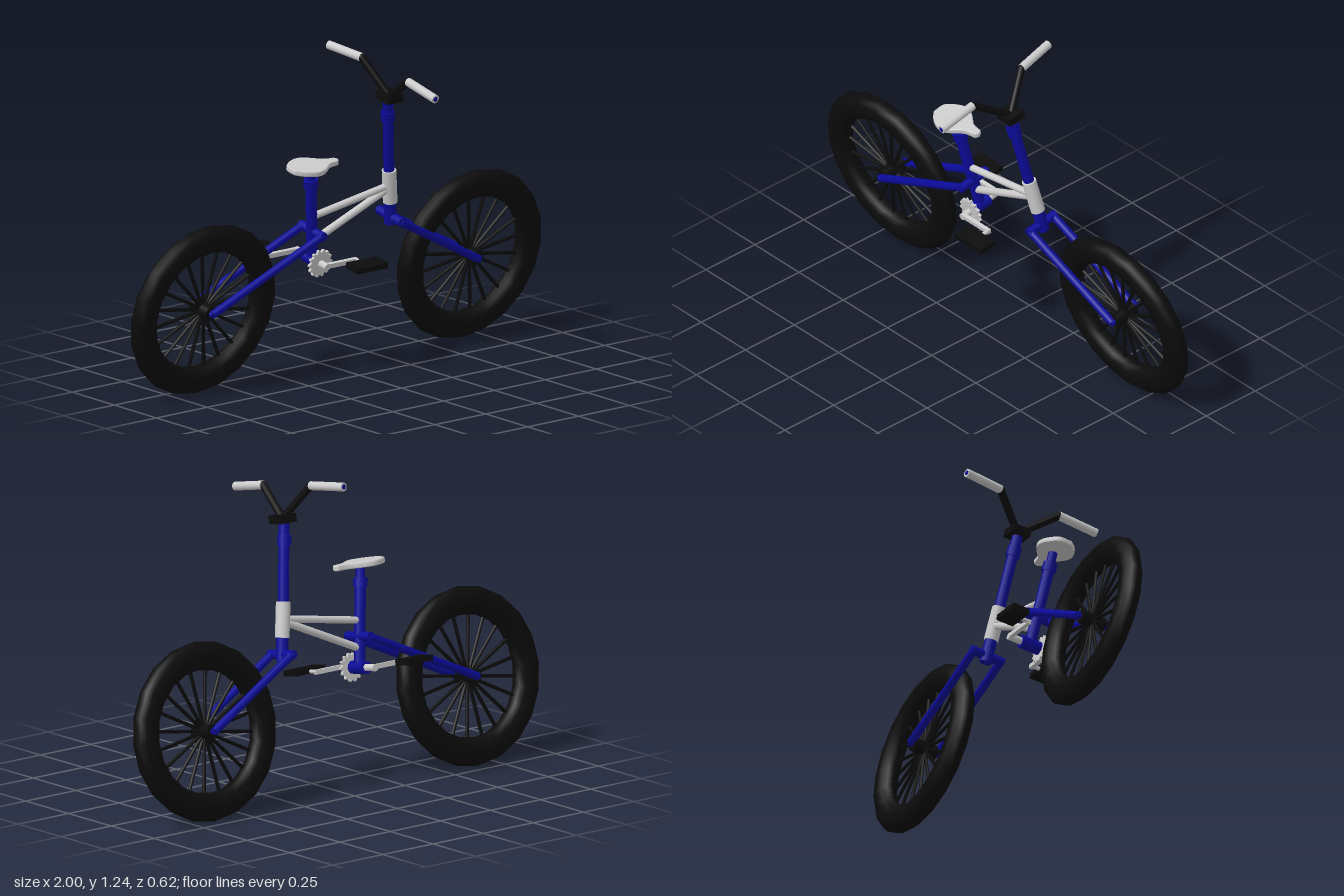
import * as THREE from 'three';

const grey = new THREE.MeshStandardMaterial({ color: 0xcccccc });
const blue = new THREE.MeshStandardMaterial({ color: 0x0b0b99 });
const black = new THREE.MeshStandardMaterial({ color: 0x0b0b0b });
const UP = new THREE.Vector3(0, 1, 0);

export function createModel() {
  const model = new THREE.Group();
  model.name = 'bicycle';

  // The whole bike leans sideways; heights inside are measured from the wheel axles.
  const bike = new THREE.Group();
  bike.name = 'leaningBike';
  bike.position.set(0, 0.345, -0.14);
  bike.rotation.x = THREE.MathUtils.degToRad(10);
  model.add(bike);

  const add = (parent, name, geometry, material) => {
    const mesh = new THREE.Mesh(geometry, material);
    mesh.name = name;
    parent.add(mesh);
    return mesh;
  };
  // Round tube between two points
  const tube = (name, a, b, radius, material, parent = bike, sides = 12) => {
    const p = new THREE.Vector3(...a), q = new THREE.Vector3(...b);
    const mesh = add(parent, name, new THREE.CylinderGeometry(radius, radius, p.distanceTo(q), sides), material);
    mesh.position.copy(p).add(q).multiplyScalar(0.5);
    mesh.quaternion.setFromUnitVectors(UP, q.sub(p).normalize());
    return mesh;
  };
  const box = (name, size, at, material) => {
    const mesh = add(bike, name, new THREE.BoxGeometry(...size), material);
    mesh.position.set(...at);
    return mesh;
  };

  // Wheels: fat tyre, radial spokes and hub
  for (const [name, x] of [['frontWheel', 0.655], ['rearWheel', -0.655]]) {
    const wheel = new THREE.Group();
    wheel.name = name;
    wheel.position.x = x;
    bike.add(wheel);
    add(wheel, 'tyre', new THREE.TorusGeometry(0.29, 0.055, 12, 20), black).scale.z = 0.75;
    tube('hub', [0, 0, -0.05], [0, 0, 0.05], 0.028, black, wheel, 16);
    for (let i = 0; i < 20; i++) {
      const a = (i + 0.5) / 20 * Math.PI * 2;
      tube('spoke', [0, 0, 0], [Math.cos(a) * 0.25, Math.sin(a) * 0.25, 0], 0.007, black, wheel, 6);
    }
    tube('axle', [0, 0, -0.065], [0, 0, 0.065], 0.012, blue, wheel);
  }

  // Front fork and rear stays, each a pair of legs with a crossbar
  for (const [name, x, y, end] of [['frontFork', 0.235, 0.228, 0.655], ['rearStay', -0.15, 0.235, -0.655]]) {
    for (const z of [-0.059, 0.059]) tube(name + 'Leg', [x, y, z], [end, 0, z], 0.016, blue);
    tube(name + 'Crossbar', [x, y, -0.07], [x, y, 0.07], 0.018, blue);
  }

  // Steering column
  tube('steererBottom', [0.238, 0.2, 0], [0.222, 0.3, 0], 0.024, blue);
  tube('headTube', [0.225, 0.29, 0], [0.2, 0.425, 0], 0.028, grey, bike, 16);
  tube('steerer', [0.2, 0.42, 0], [0.152, 0.72, 0], 0.021, blue);
  tube('steererCollar', [0.164, 0.635, 0], [0.157, 0.675, 0], 0.027, blue);
  box('handlebarClamp', [0.075, 0.032, 0.075], [0.157, 0.737, 0], black);

  // Handlebars with grips, slightly turned
  for (const [name, bend, end] of [
    ['left', [0.118, 0.857, 0.14], [0.119, 0.85, 0.305]],
    ['right', [0.105, 0.857, -0.125], [0.077, 0.85, -0.288]],
  ]) {
    tube(name + 'Bar', [0.157, 0.737, 0], bend, 0.015, black);
    add(bike, name + 'BarElbow', new THREE.SphereGeometry(0.015, 12, 8), black).position.set(...bend);
    tube(name + 'Grip', bend, end, 0.017, grey);
    const tip = new THREE.Vector3(...bend).lerp(new THREE.Vector3(...end), 1.008).toArray();
    tube(name + 'GripCore', bend, tip, 0.01, blue);
  }

  // Main frame
  tube('topTube', [-0.15, 0.297, 0], [0.21, 0.36, 0], 0.014, grey);
  tube('downTube', [-0.15, 0.187, 0], [0.21, 0.35, 0], 0.015, grey);
  tube('seatTube', [-0.133, 0.11, 0], [-0.186, 0.44, 0], 0.022, blue);
  tube('seatCollar', [-0.183, 0.42, 0], [-0.19, 0.455, 0], 0.028, blue);
  tube('seatPost', [-0.186, 0.44, 0], [-0.196, 0.505, 0], 0.018, blue);

  // Saddle: broad rear, narrow nose that dips slightly
  const half = [[-0.295, 0.025], [-0.265, 0.054], [-0.225, 0.072], [-0.19, 0.07], [-0.155, 0.05], [-0.12, 0.025], [-0.075, 0.017]];
  const outline = new THREE.Shape();
  outline.moveTo(-0.295, -0.025);
  outline.splineThru(half.map(([x, z]) => new THREE.Vector2(x, z)));
  outline.quadraticCurveTo(-0.055, 0, -0.075, -0.017);
  outline.splineThru(half.slice(0, -1).reverse().map(([x, z]) => new THREE.Vector2(x, -z)));
  const saddle = new THREE.ExtrudeGeometry(outline, {
    depth: 0.01, bevelEnabled: true, bevelSize: 0.004, bevelThickness: 0.006, bevelOffset: -0.004, bevelSegments: 2, curveSegments: 4,
  });
  saddle.rotateX(-Math.PI / 2);
  add(bike, 'saddle', saddle, grey).position.y = 0.503;

  // Toothed chainring
  const cx = -0.135, cy = 0.118;
  const ring = new THREE.Shape();
  const teeth = 14;
  for (let i = 0; i < teeth * 4; i++) {
    const a = i / (teeth * 4) * Math.PI * 2, r = i % 4 < 2 ? 0.056 : 0.047;
    ring[i ? 'lineTo' : 'moveTo'](Math.cos(a) * r, Math.sin(a) * r);
  }
  add(bike, 'chainring', new THREE.ExtrudeGeometry(ring, { depth: 0.012, bevelEnabled: false }), grey).position.set(cx, cy, 0.042);
  tube('bottomBracket', [cx, cy, -0.04], [cx, cy, 0.04], 0.026, blue);
  tube('crankAxle', [cx, cy, -0.095], [cx, cy, 0.095], 0.014, grey);

  // Cranks and pedals, half a turn apart
  for (const [name, s] of [['left', 1], ['right', -1]]) {
    const px = cx + s * 0.142;
    box(name + 'Crank', [0.155, 0.018, 0.016], [cx + s * 0.071, cy + 0.003, s * 0.087], grey);
    tube(name + 'PedalSpindle', [px, cy + 0.005, s * 0.08], [px, cy + 0.005, s * 0.13], 0.008, grey);
    box(name + 'Pedal', [s > 0 ? 0.15 : 0.128, 0.022, 0.072], [px, cy + 0.008, s * 0.156], black);
  }
  return model;
}
